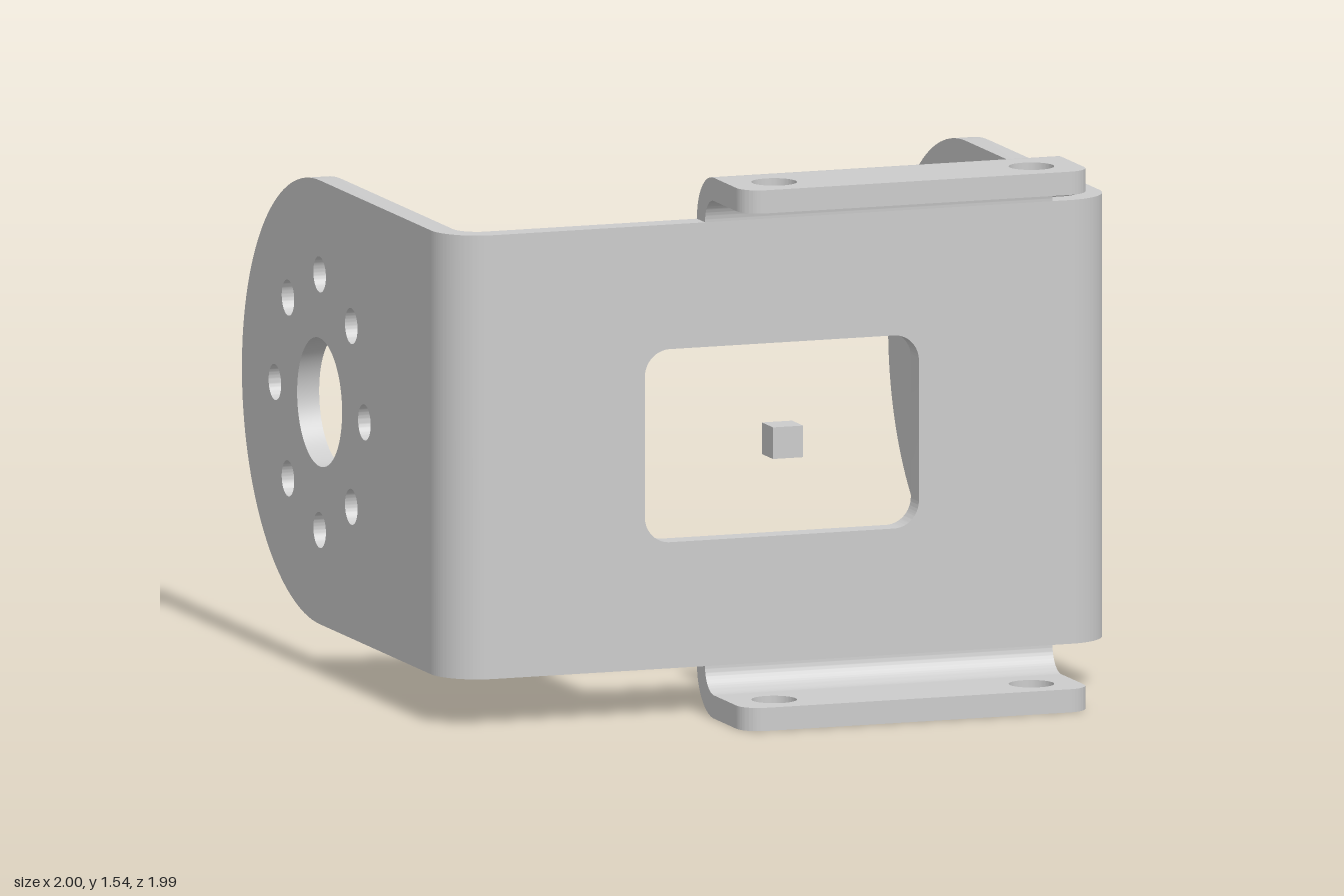
import * as THREE from 'three';
import { toCreasedNormals } from 'three/addons/utils/BufferGeometryUtils.js';

const T = 0.066;            // sheet thickness
const R = 0.138;            // outer bend radius
const H = 1.54;             // total height
const Y0 = R, Y1 = H - R;   // lower and upper edge of the main sheet
const CY = H / 2;
const ZF = 0.677, ZB = ZF - T; // front and back of the front plate
const ZEND = 0.997;

const material = new THREE.MeshStandardMaterial({ color: 0xcccccc });

function extrude(shape, depth) {
  const geo = new THREE.ExtrudeGeometry(shape, { depth, bevelEnabled: false, curveSegments: 32 });
  return toCreasedNormals(geo, 0.6);
}

function hole(x, y, r) {
  return new THREE.Path().absarc(x, y, r, 0, Math.PI * 2, true);
}

function roundedRect(path, x0, y0, x1, y1, r) {
  path.absarc(x1 - r, y0 + r, r, -Math.PI / 2, 0);
  path.absarc(x1 - r, y1 - r, r, 0, Math.PI / 2);
  path.absarc(x0 + r, y1 - r, r, Math.PI / 2, Math.PI);
  path.absarc(x0 + r, y0 + r, r, Math.PI, Math.PI * 1.5);
  path.closePath();
  return path;
}

// Quarter ring section of a bent sheet
function bendShape(cx, cy, start) {
  const s = new THREE.Shape();
  s.absarc(cx, cy, R, start, start + Math.PI / 2, false);
  s.absarc(cx, cy, R - T, start + Math.PI / 2, start, true);
  s.closePath();
  return s;
}

export function createModel() {
  const group = new THREE.Group();
  const add = (name, geo) => {
    const mesh = new THREE.Mesh(geo, material);
    mesh.name = name;
    group.add(mesh);
  };

  // Front plate with rounded window
  const front = new THREE.Shape();
  front.moveTo(-1 + R, Y0).lineTo(1 - R, Y0).lineTo(1 - R, Y1).lineTo(-1 + R, Y1).closePath();
  front.holes.push(roundedRect(new THREE.Path(), -0.41, 0.497, 0.41, 1.047, 0.075));
  add('frontPlate', extrude(front, T).translate(0, 0, ZB));

  // Side plates, drawn in (z, y): round end, centre bore and a ring of eight holes
  const radius = (Y1 - Y0) / 2, cz = -ZEND + radius;
  const side = new THREE.Shape();
  side.moveTo(ZF - R, Y0).lineTo(ZF - R, Y1).lineTo(cz, Y1);
  side.absarc(cz, CY, radius, Math.PI / 2, Math.PI * 1.5, false);
  side.closePath();
  side.holes.push(hole(cz, CY, 0.183));
  for (let i = 0; i < 8; i++) {
    const a = i * Math.PI / 4;
    side.holes.push(hole(cz + 0.364 * Math.cos(a), CY + 0.364 * Math.sin(a), 0.051));
  }
  for (const [name, s] of [['left', 1], ['right', -1]]) {
    add(name + 'SidePlate', extrude(side, T).rotateY(-Math.PI / 2).translate(s > 0 ? 1 : -1 + T, 0, 0));
    const bend = bendShape(s * (1 - R), ZF - R, s > 0 ? 0 : Math.PI / 2);
    add(name + 'SideBend', extrude(bend, Y1 - Y0).rotateX(Math.PI / 2).translate(0, Y1, 0));
  }

  // Mounting flanges, drawn in (x, z), with two screw holes each
  const X0 = -0.23, X1 = 0.81, c = 0.065, zs = ZB + R;
  const flange = new THREE.Shape();
  flange.moveTo(X0, zs).lineTo(X1, zs);
  flange.absarc(X1 - c, ZEND - c, c, 0, Math.PI / 2, false);
  flange.absarc(X0 + c, ZEND - c, c, Math.PI / 2, Math.PI, false);
  flange.closePath();
  flange.holes.push(hole(-0.095, 0.872, 0.064), hole(0.675, 0.872, 0.064));
  for (const [name, top] of [['upper', true], ['lower', false]]) {
    add(name + 'Flange', extrude(flange, T).rotateX(Math.PI / 2).translate(0, top ? H : T, 0));
    const bend = bendShape(zs, top ? H - R : R, top ? Math.PI / 2 : Math.PI);
    add(name + 'FlangeBend', extrude(bend, X1 - X0).rotateY(-Math.PI / 2).translate(X1, 0, 0));
  }

  // Small loose cube in the window
  add('centreCube', new THREE.BoxGeometry(0.09, 0.09, 0.09).translate(0, CY, 0.682));

  return group;
}
